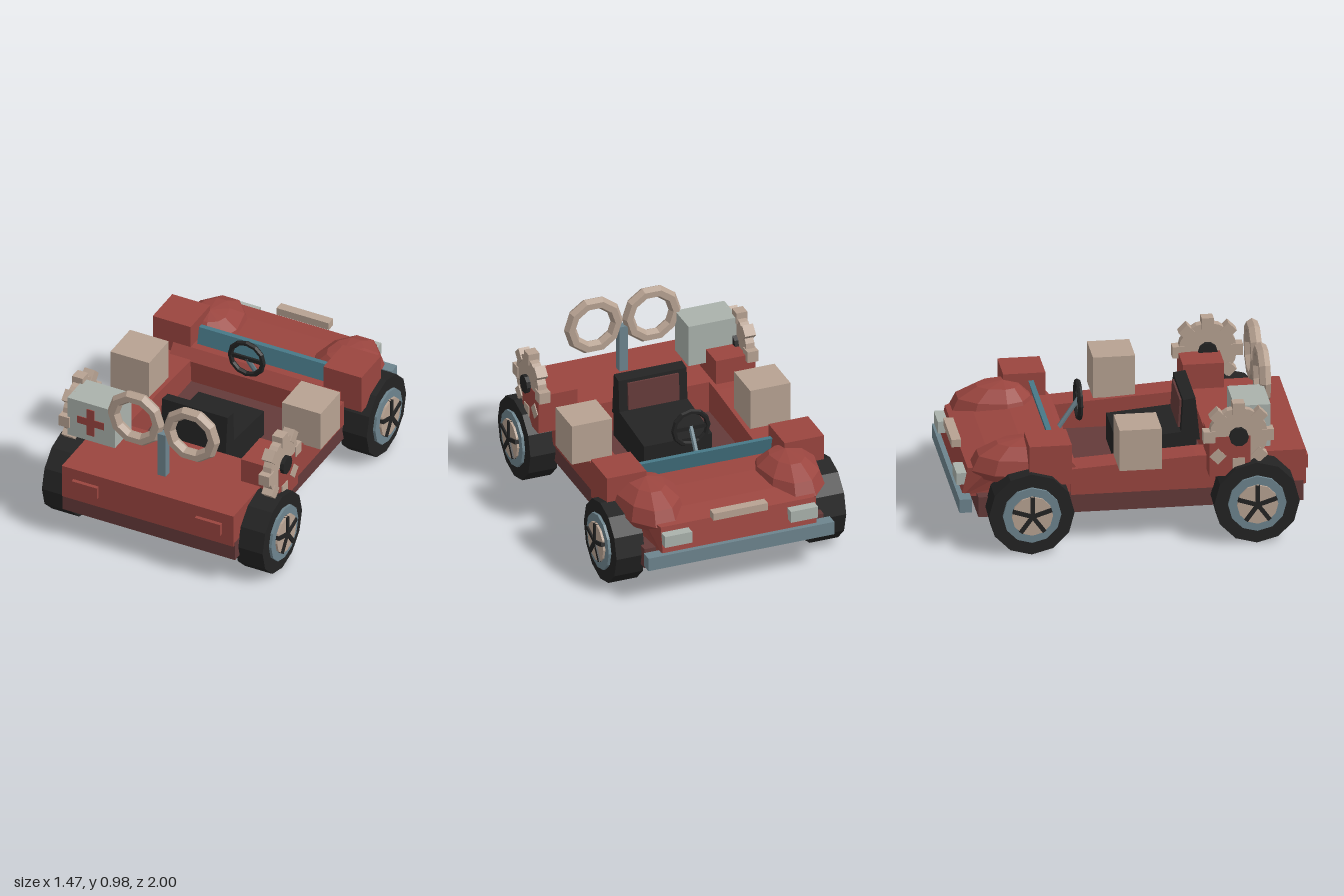
import * as THREE from 'three';

const mat = (name, color) => Object.assign(new THREE.MeshStandardMaterial({ color }), { name });

export function createModel() {
  const red = mat('bodyRed', 0x9a453f);
  const darkRed = mat('darkRed', 0x643a39);
  const black = mat('rubberBlack', 0x232323);
  const tan = mat('tan', 0xb7a292);
  const steel = mat('blueGrey', 0x6d848e);
  const glass = mat('windshieldBlue', 0x477887);
  const pale = mat('paleGrey', 0xaab2ac);

  const root = new THREE.Group();
  root.name = 'buggy';

  // Faceted mesh from any geometry
  function add(name, geo, material, parent = root) {
    const g = geo.index ? geo.toNonIndexed() : geo;
    g.computeVertexNormals();
    const m = new THREE.Mesh(g, material);
    m.name = name;
    parent.add(m);
    return m;
  }
  // Box given by its limits
  function box(name, material, x0, x1, y0, y1, z0, z1, parent) {
    const g = new THREE.BoxGeometry(x1 - x0, y1 - y0, z1 - z0);
    g.translate((x0 + x1) / 2, (y0 + y1) / 2, (z0 + z1) / 2);
    return add(name, g, material, parent);
  }
  // Side profile of [z, y] points extruded from x0 to x1
  function profile(points, x0, x1) {
    const s = new THREE.Shape(points.map(([z, y]) => new THREE.Vector2(z, y)));
    const g = new THREE.ExtrudeGeometry(s, { depth: x1 - x0, bevelEnabled: false });
    return g.rotateY(-Math.PI / 2).translate(x1, 0, 0);
  }
  // Cylinder lying along x
  const disc = (r, x0, x1, n) =>
    new THREE.CylinderGeometry(r, r, x1 - x0, n).rotateZ(Math.PI / 2).translate((x0 + x1) / 2, 0, 0);

  // Chassis and rear deck
  box('chassis', darkRed, -0.545, 0.545, 0.18, 0.3, -0.885, 0.96);
  box('rearDeck', red, -0.543, 0.543, 0.28, 0.488, 0.45, 0.975);

  // Hood with a narrowing nose
  const hood = profile([[-0.97, 0.28], [-0.33, 0.28], [-0.32, 0.44], [-0.37, 0.5],
    [-0.6, 0.5], [-0.8, 0.48], [-0.935, 0.45]], -0.53, 0.53);
  const hp = hood.attributes.position;
  for (let i = 0; i < hp.count; i++) {
    if (hp.getZ(i) < -0.9) hp.setX(i, hp.getX(i) * 0.88);
  }
  add('hood', hood, red);

  // Windshield leaning over the cowl
  add('windshield', profile([[-0.435, 0.47], [-0.41, 0.47], [-0.44, 0.6], [-0.47, 0.6]], -0.403, 0.403), glass);

  // Bumper, grille, lamps
  box('frontBumper', steel, -0.565, 0.565, 0.22, 0.3, -0.995, -0.925);
  box('grille', tan, -0.165, 0.165, 0.455, 0.5, -0.985, -0.93);

  for (const s of [-1, 1]) {
    const side = new THREE.Group();
    side.name = s > 0 ? 'leftSide' : 'rightSide';
    root.add(side);
    // Box mirrored onto this side
    const sbox = (name, m, x0, x1, ...r) =>
      box(name, m, s > 0 ? x0 : -x1, s > 0 ? x1 : -x0, ...r, side);

    // Side wall with sloping top
    const wall = profile([[-0.36, 0.29], [0.46, 0.29], [0.46, 0.488], [0.35, 0.488], [-0.36, 0.445]],
      s > 0 ? 0.395 : -0.556, s > 0 ? 0.556 : -0.395);
    add('sideWall', wall, red, side);

    sbox('frontFenderBlock', red, 0.42, 0.66, 0.4, 0.637, -0.61, -0.37);
    sbox('rearFenderBlock', red, 0.42, 0.66, 0.4, 0.637, 0.41, 0.645);
    sbox('sideCrate', tan, 0.42, 0.665, 0.465, 0.71, -0.1, 0.14);
    sbox('headlight', pale, 0.3, 0.465, 0.35, 0.42, -0.998, -0.94);
    sbox('tailLight', red, 0.31, 0.47, 0.345, 0.42, 0.96, 0.998);

    // Rounded front fender: long ahead, short behind
    const bulge = new THREE.SphereGeometry(1, 10, 6);
    const bp = bulge.attributes.position;
    for (let i = 0; i < bp.count; i++) {
      const z = bp.getZ(i), y = bp.getY(i);
      bp.setXYZ(i, s * 0.425 + bp.getX(i) * 0.2, 0.44 + y * (y > 0 ? 0.165 : 0.1), -0.61 + z * (z < 0 ? 0.32 : 0.18));
    }
    add('frontFender', bulge, red, side);

    // Wheels
    for (const z of [-0.603, 0.676]) {
      const wheel = new THREE.Group();
      wheel.name = z < 0 ? 'frontWheel' : 'rearWheel';
      wheel.position.set(0, 0.243, z);
      side.add(wheel);
      const x = (a, b) => (s > 0 ? [a, b] : [-b, -a]);
      add('tire', disc(0.243, ...x(0.525, 0.698), 12), black, wheel);
      add('rim', disc(0.166, ...x(0.6, 0.714), 12), steel, wheel);
      add('hubDisc', disc(0.117, ...x(0.6, 0.727), 12), tan, wheel);
      for (let i = 0; i < 5; i++) {
        const g = new THREE.BoxGeometry(0.03, 0.115, 0.024).translate(s * 0.722, 0.0575, 0);
        add('spoke', g.rotateX((i * Math.PI * 2) / 5), black, wheel);
      }
    }

    // Gear with eight teeth
    const gear = new THREE.Group();
    gear.name = 'gear';
    gear.position.set(s * 0.632, 0.638, 0.577);
    side.add(gear);
    add('gearDisc', disc(0.168, -0.026, 0.026, 16), tan, gear);
    add('gearHub', disc(0.055, -0.05, 0.05, 10), black, gear);
    for (let i = 0; i < 8; i++) {
      const tooth = new THREE.BoxGeometry(0.066, 0.068, 0.068).translate(0, 0.166, 0);
      add('gearTooth', tooth.rotateX((i * Math.PI) / 4), tan, gear);
    }

    // Goggle ring on the rear post
    const ring = new THREE.TorusGeometry(0.142, 0.037, 6, 10).translate(s * 0.176, 0.81, 0.775);
    add('goggleRing', ring, tan, side);
  }
  box('gogglePost', steel, -0.026, 0.026, 0.48, 0.77, 0.755, 0.805);

  // First-aid case with cross
  box('aidCase', pale, -0.615, -0.315, 0.55, 0.803, 0.56, 0.765);
  box('crossUpright', red, -0.492, -0.444, 0.59, 0.765, 0.763, 0.77);
  box('crossBar', red, -0.553, -0.383, 0.653, 0.7, 0.763, 0.769);

  // Seat
  add('seatCushion', profile([[-0.055, 0.3], [0.4, 0.3], [0.4, 0.5], [-0.055, 0.46]], -0.207, 0.207), black);
  add('seatBack', profile([[0.31, 0.44], [0.42, 0.44], [0.395, 0.695], [0.325, 0.685]], -0.207, 0.207), black);
  add('seatPanel', profile([[0.302, 0.5], [0.33, 0.5], [0.33, 0.665], [0.312, 0.665]], -0.155, 0.155), darkRed);

  // Steering wheel and column
  add('steeringWheel', new THREE.TorusGeometry(0.104, 0.016, 6, 12).translate(0, 0.637, -0.243), black);
  box('steeringCrossbar', black, -0.1, 0.1, 0.625, 0.649, -0.25, -0.236);
  const path = new THREE.LineCurve3(new THREE.Vector3(0, 0.645, -0.24), new THREE.Vector3(0, 0.46, -0.365));
  add('steeringColumn', new THREE.TubeGeometry(path, 1, 0.014, 6), steel);

  return root;
}
